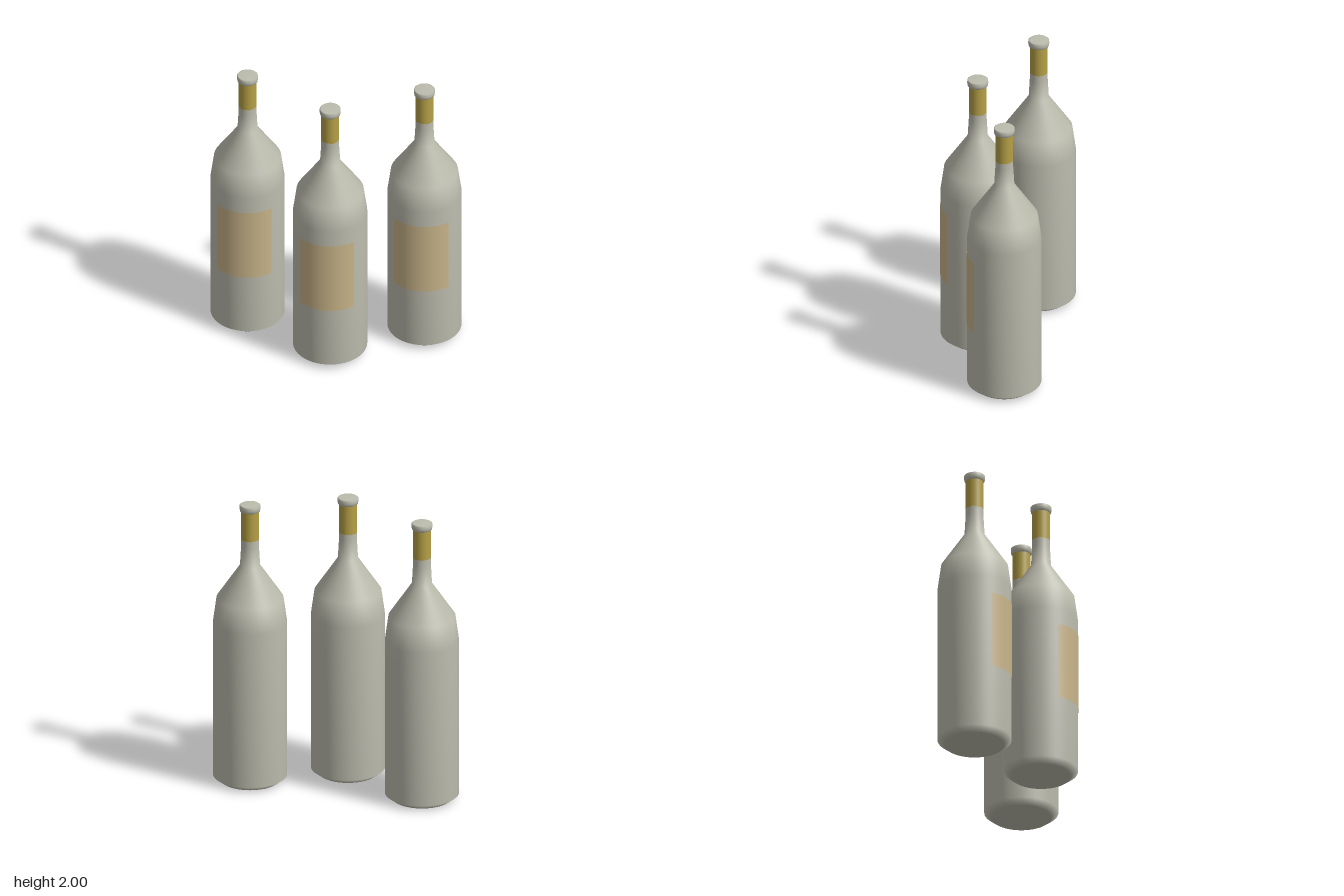
import * as THREE from 'three';

const SEGMENTS = 48;

function makeMaterial(name, color, side = THREE.FrontSide) {
  const material = new THREE.MeshStandardMaterial({ color, side });
  material.name = name;
  return material;
}

// Smooth surface of revolution from [radius, height] pairs, bottom to top
function turned(profile) {
  return new THREE.LatheGeometry(profile.map(([r, y]) => new THREE.Vector2(r, y)), SEGMENTS);
}

export function createModel() {
  const glass = makeMaterial('pale glass', 0xbcbcae);
  const foil = makeMaterial('gold foil', 0xb5a046);
  const paper = makeMaterial('label paper', 0xc8b489, THREE.DoubleSide);

  // Base, straight body, sloping shoulder and neck
  const body = turned([
    [0, 0], [0.2, 0.002], [0.25, 0.04], [0.25, 1.15],
    [0.226, 1.325], [0.068, 1.56], [0.06, 1.7], [0.06, 1.75],
  ]);
  // Foil sleeve around the upper neck
  const sleeve = turned([[0.06, 1.745], [0.06, 1.955]]);
  // Flared lip with closed top
  const lip = turned([[0.058, 1.95], [0.068, 1.957], [0.071, 1.975], [0.07, 1.995], [0.064, 2], [0, 2]]);
  // Curved paper wrapped around the front
  const arc = 0.82;
  const label = new THREE.CylinderGeometry(0.253, 0.253, 0.54, 20, 1, true, -arc, 2 * arc);
  label.translate(0, 0.76, 0);

  const parts = [
    ['body', body, glass],
    ['neckFoil', sleeve, foil],
    ['lip', lip, glass],
    ['label', label, paper],
  ];

  // Three identical bottles, the middle one standing forward
  const group = new THREE.Group();
  group.name = 'bottles';
  for (const [name, x, z] of [['rightBottle', -0.6, -0.152], ['middleBottle', 0, 0.148], ['leftBottle', 0.6, -0.152]]) {
    const bottle = new THREE.Group();
    bottle.name = name;
    bottle.position.set(x, 0, z);
    for (const [partName, geometry, material] of parts) {
      const mesh = new THREE.Mesh(geometry, material);
      mesh.name = partName;
      bottle.add(mesh);
    }
    group.add(bottle);
  }
  return group;
}
